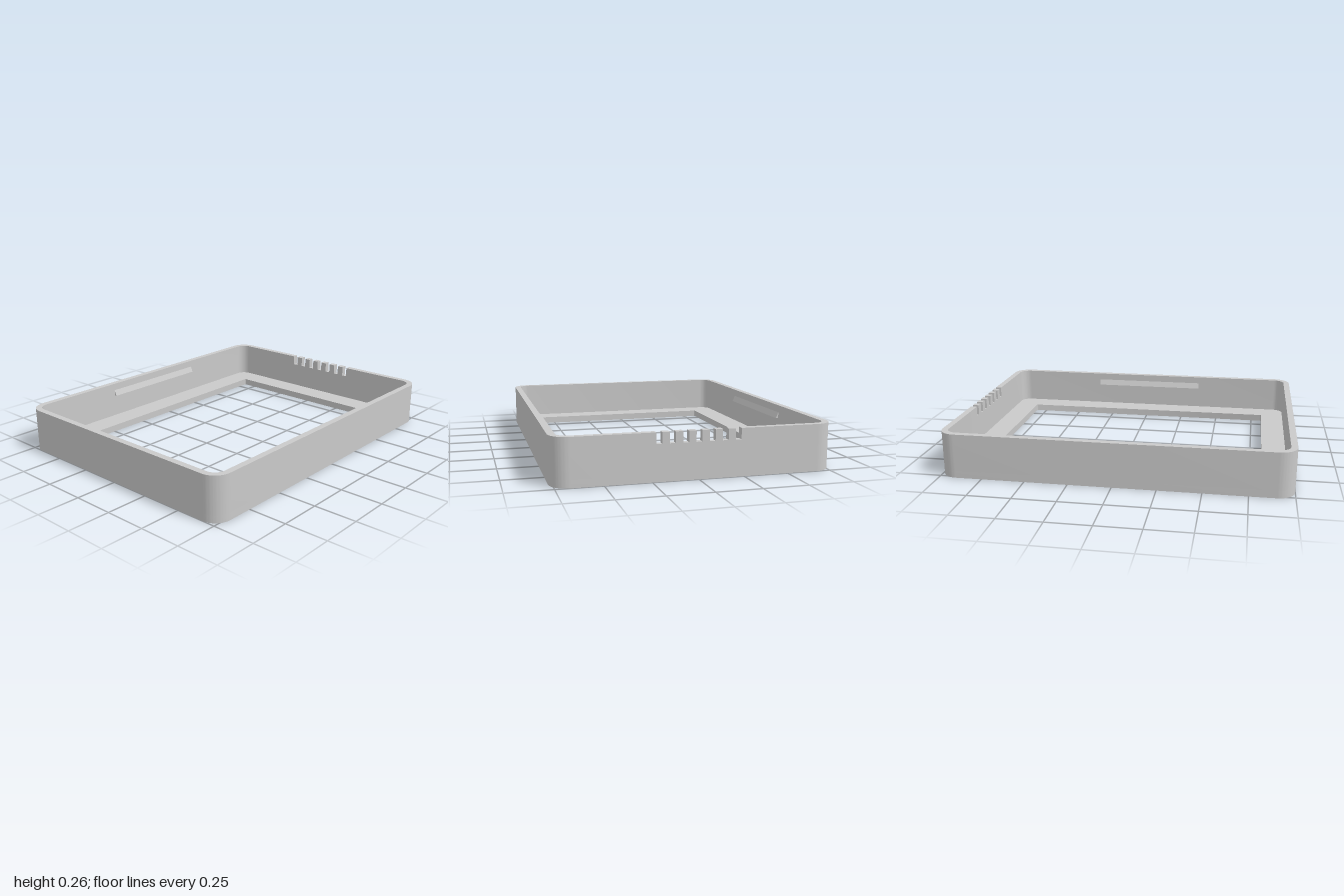
import * as THREE from 'three';
import { toCreasedNormals } from 'three/addons/utils/BufferGeometryUtils.js';

const W = 0.77, L = 1, H = 0.26;        // outer half width, half length, height
const T = 0.037, FLOOR = 0.042;         // wall and floor thickness
const R = 0.1, RI = R - T;              // outer and inner corner radii
const SLOTS = 7, PITCH = 0.0717, SLOT_W = 0.032, SLOT_D = 0.06;
const VENT = 0.26;                      // half width of the slotted wall section

// Points of a rounded rectangle, clockwise from the middle of its back edge
function outline(w, l, r) {
  const q = Math.PI / 2;
  const path = new THREE.Path();
  path.absarc(w - r, l - r, r, q, 0, true);
  path.absarc(w - r, -l + r, r, 0, -q, true);
  path.absarc(-w + r, -l + r, r, -q, -2 * q, true);
  path.absarc(-w + r, l - r, r, 2 * q, q, true);
  return path.getPoints(12);
}

function extrude(shape, depth) {
  const geometry = new THREE.ExtrudeGeometry(shape, { depth, bevelEnabled: false });
  return toCreasedNormals(geometry, 0.5);
}

export function createModel() {
  const group = new THREE.Group();
  const grey = new THREE.MeshStandardMaterial({ color: 0xc9c9c9 });
  grey.name = 'grey plastic';
  const add = (name, geometry) => {
    const mesh = new THREE.Mesh(geometry, grey);
    mesh.name = name;
    group.add(mesh);
  };

  // Floor frame with the large opening
  const floor = new THREE.Shape(outline(W, L, R));
  floor.holes.push(new THREE.Path(outline(0.586, 0.818, 0.008).reverse()));
  add('floorFrame', extrude(floor, FLOOR).rotateX(-Math.PI / 2));

  // Surrounding wall, left open at the back for the slotted section
  const wall = new THREE.Shape([
    new THREE.Vector2(VENT, L - T),
    new THREE.Vector2(VENT, L),
    ...outline(W, L, R),
    new THREE.Vector2(-VENT, L),
    new THREE.Vector2(-VENT, L - T),
    ...outline(W - T, L - T, RI).reverse(),
  ]);
  add('wall', extrude(wall, H - FLOOR).rotateX(-Math.PI / 2).translate(0, FLOOR, 0));

  // Back wall section with a row of open slots in its top edge
  const comb = new THREE.Shape();
  comb.moveTo(-VENT, FLOOR);
  comb.lineTo(VENT, FLOOR);
  comb.lineTo(VENT, H);
  for (let i = SLOTS - 1; i >= 0; i--) {
    const x = (i - (SLOTS - 1) / 2) * PITCH, h = SLOT_W / 2;
    comb.lineTo(x + h, H);
    comb.lineTo(x + h, H - SLOT_D);
    comb.lineTo(x - h, H - SLOT_D);
    comb.lineTo(x - h, H);
  }
  comb.lineTo(-VENT, H);
  comb.closePath();
  add('slottedBackWall', extrude(comb, T).translate(0, 0, -L));

  // Snap ridges inside both side walls: sloped above, flat below
  for (const side of [-1, 1]) {
    const x = side * (W - T);
    const ridge = new THREE.Shape();
    ridge.moveTo(x, 0.18);
    ridge.lineTo(x - side * 0.016, 0.18);
    ridge.lineTo(x, 0.216);
    ridge.closePath();
    add(side > 0 ? 'leftSnapRidge' : 'rightSnapRidge', extrude(ridge, 0.728).translate(0, 0, -0.366));
  }

  return group;
}
